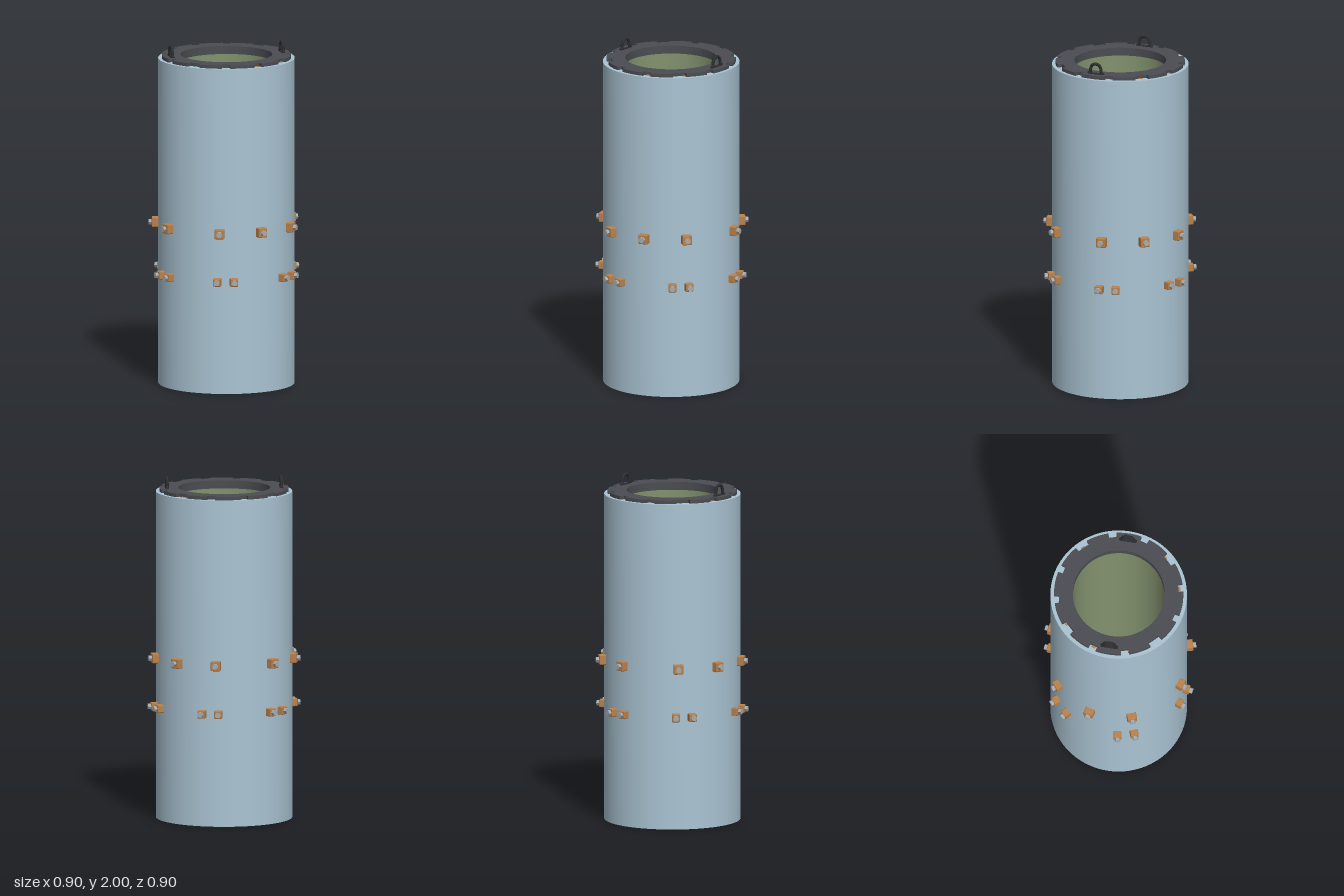
import * as THREE from 'three';
import { toCreasedNormals } from 'three/addons/utils/BufferGeometryUtils.js';
import { RoundedBoxGeometry } from 'three/addons/geometries/RoundedBoxGeometry.js';

const material = (name, color, side = THREE.FrontSide) => {
  const m = new THREE.MeshStandardMaterial({ color, side });
  m.name = name;
  return m;
};
const rad = THREE.MathUtils.degToRad;

export function createModel() {
  const model = new THREE.Group();
  const blue = material('paleBlue', 0xaac4d3);
  const dark = material('charcoal', 0x4a4d52, THREE.DoubleSide);
  const black = material('handleBlack', 0x2c2e31);
  const green = material('linerGreen', 0x82926e, THREE.DoubleSide);
  const brown = material('copperBrown', 0xb9824c);
  const steel = material('steel', 0xa9acaf);
  const silver = material('lightGrey', 0xbcbcbe);

  const add = (name, geometry, mat, parent = model) => {
    const mesh = new THREE.Mesh(geometry, mat);
    mesh.name = name;
    parent.add(mesh);
    return mesh;
  };

  // Outer vessel: closed bottom, flat rim and inner face
  const profile = [[0, 0], [0.396, 0], [0.396, 1.912], [0.29, 1.912], [0.29, 0.06]]
    .map(([x, y]) => new THREE.Vector2(x, y));
  add('outerShell', toCreasedNormals(new THREE.LatheGeometry(profile, 96), 0.6), blue);

  // Lid ring with twelve notches in its edge
  const lid = new THREE.Shape();
  const notches = [[15, 3.6], [45, 6], [75, 3.6]];
  const edge = (r, from, to) => {
    for (let i = 0; i <= 6; i++) {
      const a = rad(from + (to - from) * i / 6);
      const x = r * Math.cos(a), y = r * Math.sin(a);
      if (lid.curves.length === 0 && i === 0 && from === 0) lid.moveTo(x, y);
      else lid.lineTo(x, y);
    }
  };
  for (let quarter = 0; quarter < 4; quarter++) {
    let last = quarter * 90;
    for (const [centre, half] of notches) {
      const a = quarter * 90 + centre;
      edge(0.375, last, a - half);
      edge(0.348, a - half, a + half);
      last = a + half;
    }
    edge(0.375, last, quarter * 90 + 90);
  }
  lid.holes.push(new THREE.Path().absarc(0, 0, 0.266, 0, Math.PI * 2, true));
  const lidGeometry = new THREE.ExtrudeGeometry(lid, { depth: 0.02, bevelEnabled: false, curveSegments: 48 });
  lidGeometry.rotateX(-Math.PI / 2);
  add('lidRing', lidGeometry, dark).position.y = 1.912;

  // Bore: dark collar, green liner, floor with a central opening
  add('boreCollar', new THREE.CylinderGeometry(0.266, 0.266, 0.03, 72, 1, true), dark).position.y = 1.9;
  add('innerLiner', new THREE.CylinderGeometry(0.267, 0.267, 1.785, 72, 1, true), green).position.y = 0.9925;
  const floor = add('boreFloor', new THREE.RingGeometry(0.05, 0.267, 72), dark);
  floor.rotation.x = -Math.PI / 2;
  floor.position.y = 0.12;
  const disc = add('floorDisc', new THREE.CircleGeometry(0.06, 48), silver);
  disc.rotation.x = -Math.PI / 2;
  disc.position.y = 0.11;
  for (let i = 0; i < 6; i++) {
    const pivot = new THREE.Group();
    pivot.name = 'floorLug';
    pivot.rotation.y = rad(30 + i * 60);
    add('lugPlate', new THREE.BoxGeometry(0.01, 0.02, 0.06), dark, pivot).position.set(0.257, 0.13, 0);
    model.add(pivot);
  }

  // Two lifting handles, arched along z
  const arch = [[-0.048, 1.934], [-0.036, 1.942], [-0.032, 1.965], [-0.021, 1.985], [0, 1.991],
    [0.021, 1.985], [0.032, 1.965], [0.036, 1.942], [0.048, 1.934]]
    .map(([z, y]) => new THREE.Vector3(0, y, z));
  for (const side of [-1, 1]) {
    const handle = new THREE.Group();
    handle.name = side > 0 ? 'leftHandle' : 'rightHandle';
    handle.position.x = side * 0.332;
    add('handleArch', new THREE.TubeGeometry(new THREE.CatmullRomCurve3(arch), 40, 0.009, 10), black, handle);
    add('handleFoot', new THREE.BoxGeometry(0.019, 0.006, 0.1), black, handle).position.y = 1.934;
    model.add(handle);
  }

  // Bolted block on the shell, angle measured from +x towards +z
  const addBlock = (name, angle, y, size) => {
    const block = new THREE.Group();
    block.name = name;
    block.rotation.y = -rad(angle);
    block.position.y = y;
    add('blockBody', new RoundedBoxGeometry(0.046, size, size, 1, 0.005), brown, block).position.x = 0.41;
    const bolt = add('boltHead', new THREE.CylinderGeometry(0.017, 0.017, 0.02, 6).toNonIndexed(), steel, block);
    bolt.geometry.computeVertexNormals();
    bolt.rotation.z = -Math.PI / 2;
    bolt.position.x = 0.441;
    model.add(block);
  };

  // Three clusters: three upper and four lower blocks each
  for (const centre of [75, 195, 315]) {
    for (const offset of [-35, 0, 35]) {
      addBlock('upperBlock', centre + offset, 0.945, 0.056);
      // Brown tab showing in the lid notch above
      const tab = new THREE.Group();
      tab.name = 'notchTab';
      tab.rotation.y = -rad(centre + offset);
      add('tabPlate', new THREE.BoxGeometry(0.012, 0.004, 0.024), brown, tab).position.set(0.354, 1.913, 0);
      model.add(tab);
    }
    for (const offset of [-37, -23.5, 23.5, 37]) addBlock('lowerBlock', centre + offset, 0.66, 0.046);
  }
  return model;
}
